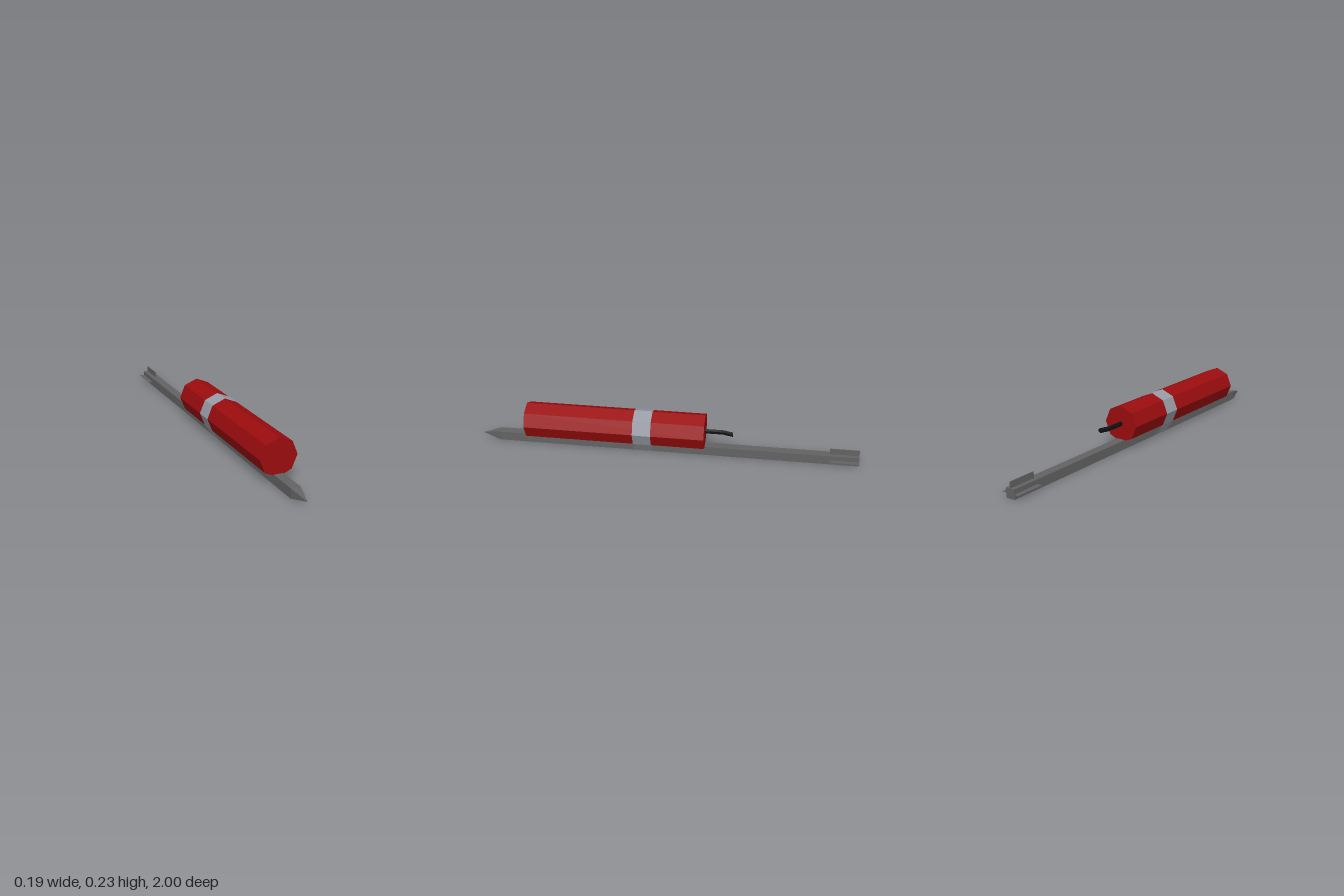
import * as THREE from 'three';

function makeMaterial(name, color, doubleSided = false) {
  const m = new THREE.MeshStandardMaterial({ color });
  m.name = name;
  if (doubleSided) m.side = THREE.DoubleSide;
  return m;
}

// Faceted normals for low-poly parts
function faceted(geometry) {
  const g = geometry.index ? geometry.toNonIndexed() : geometry;
  g.computeVertexNormals();
  return g;
}

// Open strip: an x/y outline extruded between two z positions
function strip(outline, z0, z1) {
  const pos = [];
  for (let i = 0; i < outline.length - 1; i++) {
    const [ax, ay] = outline[i], [bx, by] = outline[i + 1];
    pos.push(ax, ay, z0, bx, by, z0, bx, by, z1);
    pos.push(ax, ay, z0, bx, by, z1, ax, ay, z1);
  }
  const g = new THREE.BufferGeometry();
  g.setAttribute('position', new THREE.Float32BufferAttribute(pos, 3));
  return faceted(g);
}

export function createModel() {
  const group = new THREE.Group();
  const steel = makeMaterial('dark steel', 0x626262);
  const finSteel = steel;
  const red = makeMaterial('red casing', 0x9a0c0e);
  const silver = makeMaterial('silver tape', 0x989ba5, true);
  const black = makeMaterial('black fuse', 0x101010);

  const add = (name, geometry, material, x = 0, y = 0, z = 0) => {
    const mesh = new THREE.Mesh(geometry, material);
    mesh.name = name;
    mesh.position.set(x, y, z);
    group.add(mesh);
    return mesh;
  };

  const half = 0.024; // half width of the square shaft
  const chargeY = 0.129;

  // Square shaft with a pyramid tip
  add('shaft', new THREE.BoxGeometry(half * 2, half * 2, 1.9), steel, 0, half, -0.05);
  const tip = new THREE.ConeGeometry(half * Math.SQRT2, 0.1, 4, 1, true);
  tip.rotateY(Math.PI / 4).rotateX(Math.PI / 2);
  add('tip', faceted(tip), steel, 0, half, 0.95);

  // Three thin tail fins
  add('topFin', new THREE.BoxGeometry(0.002, 0.032, 0.15), finSteel, 0, 0.064, -0.925);
  for (const [name, side] of [['leftFin', 1], ['rightFin', -1]]) {
    add(name, new THREE.BoxGeometry(0.024, 0.002, 0.15), finSteel, side * 0.036, half, -0.925);
  }

  // Eight-sided charge lying on the shaft
  const charge = new THREE.CylinderGeometry(0.095, 0.095, 0.945, 8).rotateX(Math.PI / 2);
  add('charge', faceted(charge), red, 0, chargeY, 0.2675);

  // Tape around the charge, pulled in to the lower edges of the shaft
  const outline = [[half + 0.001, 0]];
  for (let i = -1; i <= 5; i++) {
    const a = (i * Math.PI) / 4;
    outline.push([Math.cos(a) * 0.0965, chargeY + Math.sin(a) * 0.0965]);
  }
  outline.push([-half - 0.001, 0]);
  add('tape', strip(outline, 0.07, 0.165), silver);

  // Fuse with a bend in its outer end
  const fuse = new THREE.CylinderGeometry(0.013, 0.013, 0.15, 6, 3).rotateX(-Math.PI / 2);
  const p = fuse.attributes.position;
  for (let i = 0; i < p.count; i++) {
    if (p.getZ(i) < -0.07) p.setX(i, p.getX(i) + 0.016);
  }
  add('fuse', faceted(fuse), black, 0, 0.13, -0.275);

  return group;
}
